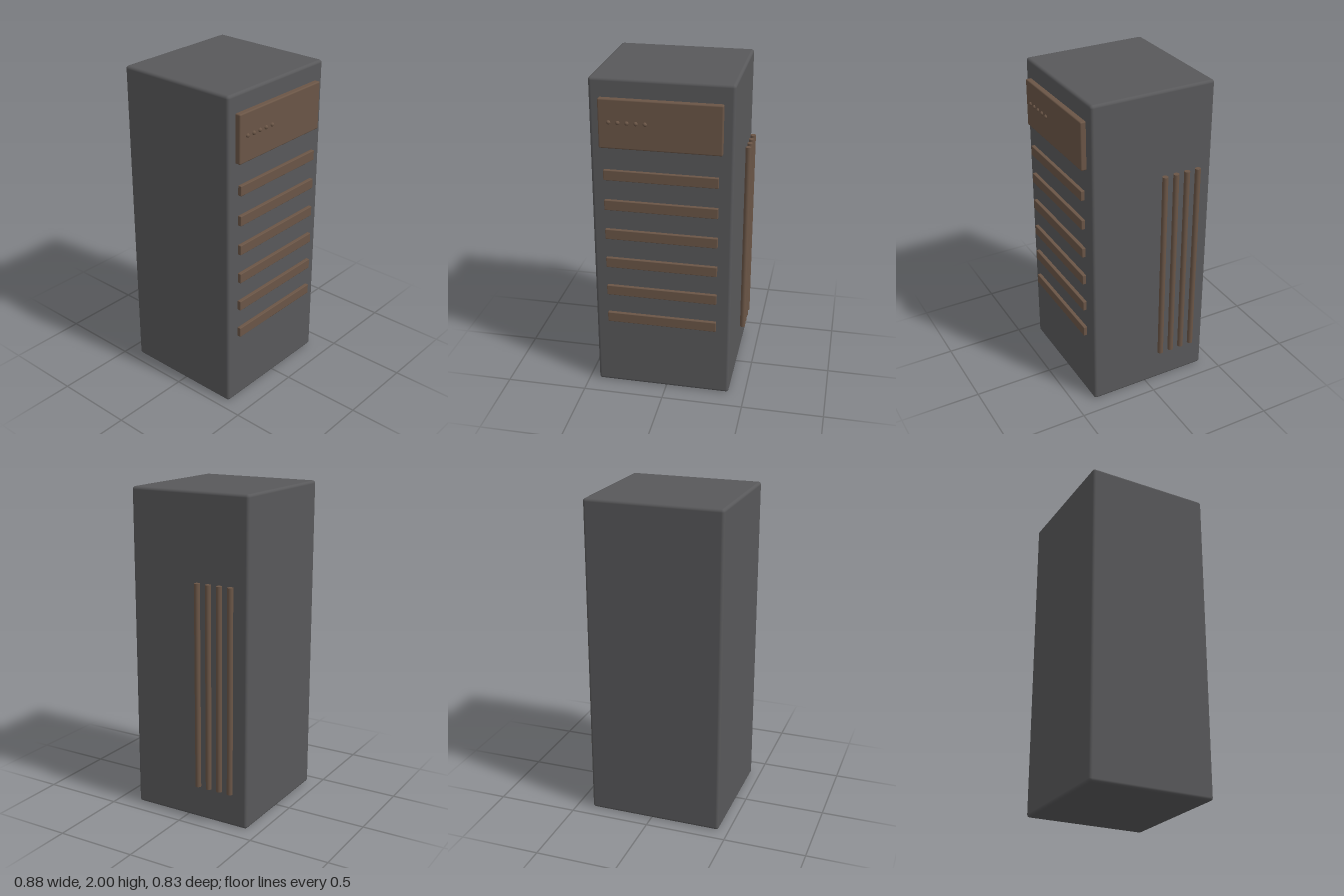
import * as THREE from 'three';
import { RoundedBoxGeometry } from 'three/addons/geometries/RoundedBoxGeometry.js';

const grey = new THREE.MeshStandardMaterial({ color: 0x58585a });
const brown = new THREE.MeshStandardMaterial({ color: 0x6a5546 });

export function createModel() {
  const model = new THREE.Group();
  model.name = 'cabinet';

  const add = (name, geometry, material, x, y, z) => {
    const mesh = new THREE.Mesh(geometry, material);
    mesh.name = name;
    mesh.position.set(x, y, z);
    model.add(mesh);
  };

  // Tall cabinet with softened edges
  add('body', new RoundedBoxGeometry(0.836, 2, 0.785, 3, 0.018), grey, -0.02, 1, -0.0235);

  // Control panel near the top of the front
  add('controlPanel', new RoundedBoxGeometry(0.714, 0.294, 0.04, 3, 0.008), brown, -0.0215, 1.743, 0.382);

  // Row of small round lights on the panel
  const light = new THREE.SphereGeometry(0.0125, 16, 12);
  for (let i = 0; i < 5; i++) add(`indicatorLight${i + 1}`, light, brown, -0.316 + i * 0.0527, 1.754, 0.401);

  // Horizontal slats down the front
  const slat = new RoundedBoxGeometry(0.674, 0.063, 0.024, 2, 0.004);
  for (let i = 0; i < 6; i++) add(`frontSlat${i + 1}`, slat, brown, -0.0225, 1.428 - i * 0.189, 0.384);

  // Vertical pipes standing beside the left side
  const pipe = new THREE.CylinderGeometry(0.0175, 0.0175, 1.26, 24);
  for (let i = 0; i < 4; i++) add(`sidePipe${i + 1}`, pipe, brown, 0.4205, 0.848, -0.313 + i * 0.0737);

  return model;
}
